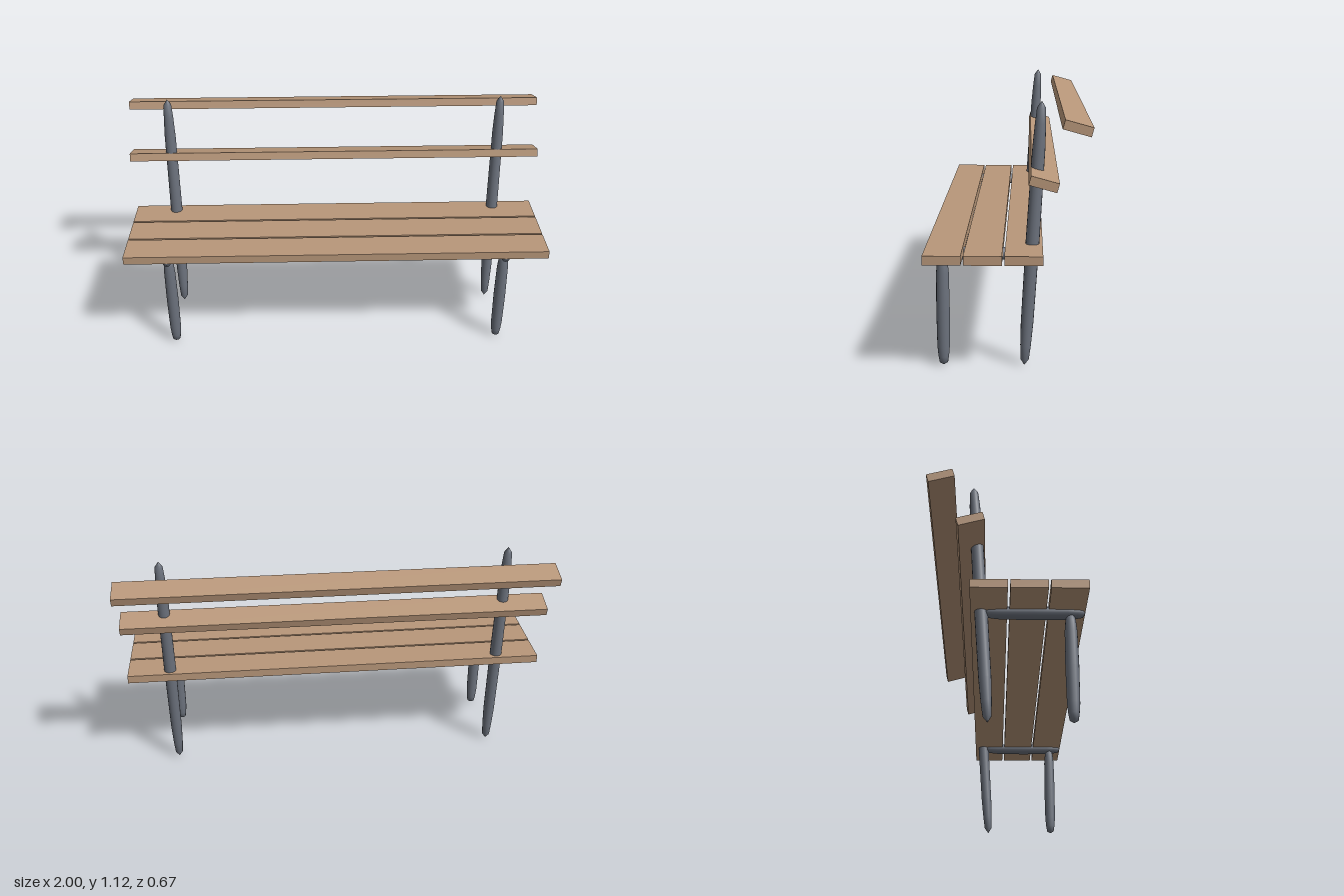
import * as THREE from 'three';

export function createModel() {
  const bench = new THREE.Group();
  bench.name = 'bench';
  const wood = new THREE.MeshStandardMaterial({ color: 0xb8977a });
  const metal = new THREE.MeshStandardMaterial({ color: 0x6c727d });

  // Plank running the full width, tilted about x
  function slat(name, y, z, depth, tilt = 0) {
    const mesh = new THREE.Mesh(new THREE.BoxGeometry(2, 0.038, depth), wood);
    mesh.name = name;
    mesh.position.set(0, y, z);
    mesh.rotation.x = tilt;
    bench.add(mesh);
  }

  // Round post with tapered, pointed ends: [radius, fraction of length]
  const half = [[0, 0], [0.018, 0.024], [0.0225, 0.08], [0.0265, 0.17]];
  const profile = [
    ...half,
    [0.0285, 0.5],
    ...half.map(([r, t]) => [r, 1 - t]).reverse(),
  ];
  function post(name, x, from, to) {
    const a = new THREE.Vector3(x, ...from);
    const b = new THREE.Vector3(x, ...to);
    const dir = b.clone().sub(a);
    const points = profile.map(([r, t]) => new THREE.Vector2(r, t * dir.length()));
    const mesh = new THREE.Mesh(new THREE.LatheGeometry(points, 16), metal);
    mesh.name = name;
    mesh.position.copy(a);
    mesh.quaternion.setFromUnitVectors(new THREE.Vector3(0, 1, 0), dir.normalize());
    bench.add(mesh);
  }

  // Seat planks
  ['frontSeatSlat', 'middleSeatSlat', 'rearSeatSlat'].forEach((name, i) =>
    slat(name, 0.519, 0.259 - i * 0.163, 0.153));

  // Backrest planks
  const tilt = THREE.MathUtils.degToRad(-15.5);
  slat('lowerBackSlat', 0.827, -0.145, 0.115, tilt);
  slat('upperBackSlat', 1.045, -0.274, 0.115, tilt);

  // Supports on each side, given as [y, z] ends
  for (const [side, x] of [['left', 0.8], ['right', -0.8]]) {
    post(side + 'FrontLeg', x, [0.003, 0.273], [0.495, 0.273]);
    post(side + 'RearLeg', x, [0.003, -0.069], [1.128, -0.137]);
    post(side + 'SeatRail', x, [0.495, 0.335], [0.495, -0.09]);
  }
  return bench;
}
